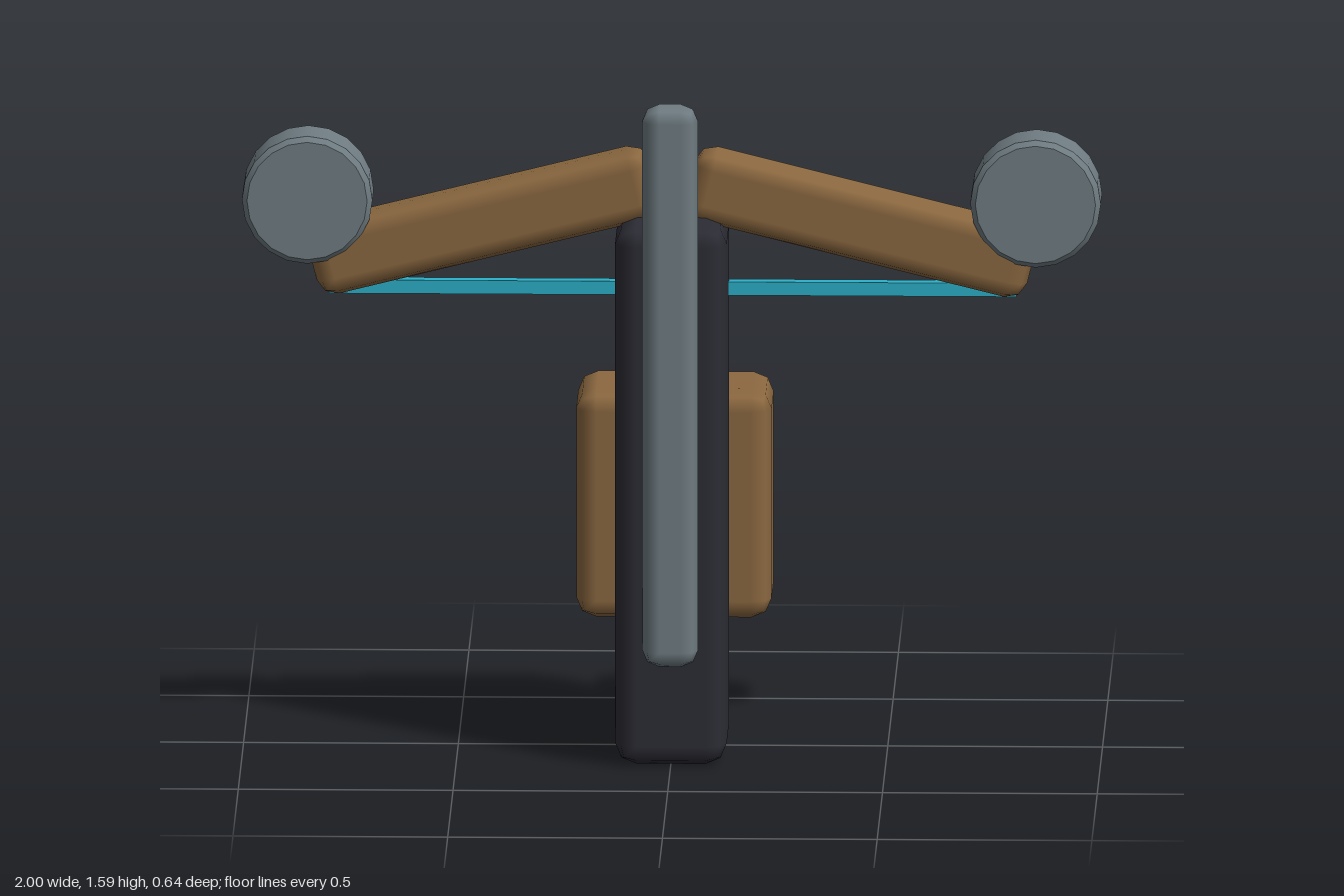
import * as THREE from 'three';
import { RoundedBoxGeometry } from 'three/addons/geometries/RoundedBoxGeometry.js';

const mat = (name, color) => {
  const m = new THREE.MeshStandardMaterial({ color });
  m.name = name;
  return m;
};

export function createModel() {
  const wood = mat('wood', 0x8b6840);
  const dark = mat('dark body', 0x2c2c35);
  const steel = mat('steel', 0x6f7c82);
  const cyan = mat('cyan string', 0x2cb0c8);

  const group = new THREE.Group();
  const add = (name, geometry, material, x, y, z) => {
    const mesh = new THREE.Mesh(geometry, material);
    mesh.name = name;
    mesh.position.set(x, y, z);
    group.add(mesh);
    return mesh;
  };
  // Box with a two-step bevel
  const block = (w, h, d, r) => new RoundedBoxGeometry(w, h, d, 1, r);

  // Upright body, front rail and rear block
  add('body', block(0.26, 1.29, 0.305, 0.05), dark, 0, 0.645, 0.1);
  add('rail', block(0.13, 1.34, 0.088, 0.04), steel, 0, 0.918, 0.274);
  add('rearBlock', block(0.455, 0.545, 0.28, 0.047), wood, 0, 0.558, -0.18);

  // Wheel with small bevels on both rims
  const wheel = new THREE.LatheGeometry([
    [0, -0.07], [0.14, -0.07], [0.14, -0.07], [0.152, -0.058], [0.152, -0.058],
    [0.152, 0.058], [0.152, 0.058], [0.14, 0.07], [0.14, 0.07], [0, 0.07],
  ].map(([r, y]) => new THREE.Vector2(r, y)), 20).rotateX(Math.PI / 2);

  // Mirrored limbs, each carrying a wheel
  for (const [side, s] of [['left', 1], ['right', -1]]) {
    const limb = add(side + 'Limb', block(0.82, 0.175, 0.125, 0.045), wood, s * 0.44, 1.272, 0.098);
    limb.rotation.z = -s * 0.245;
    add(side + 'Wheel', wheel, steel, s * 0.848, 1.33, 0.1);
  }

  // Straight string
  add('string', new THREE.BoxGeometry(1.6, 0.032, 0.032), cyan, 0, 1.094, 0.008);

  return group;
}
